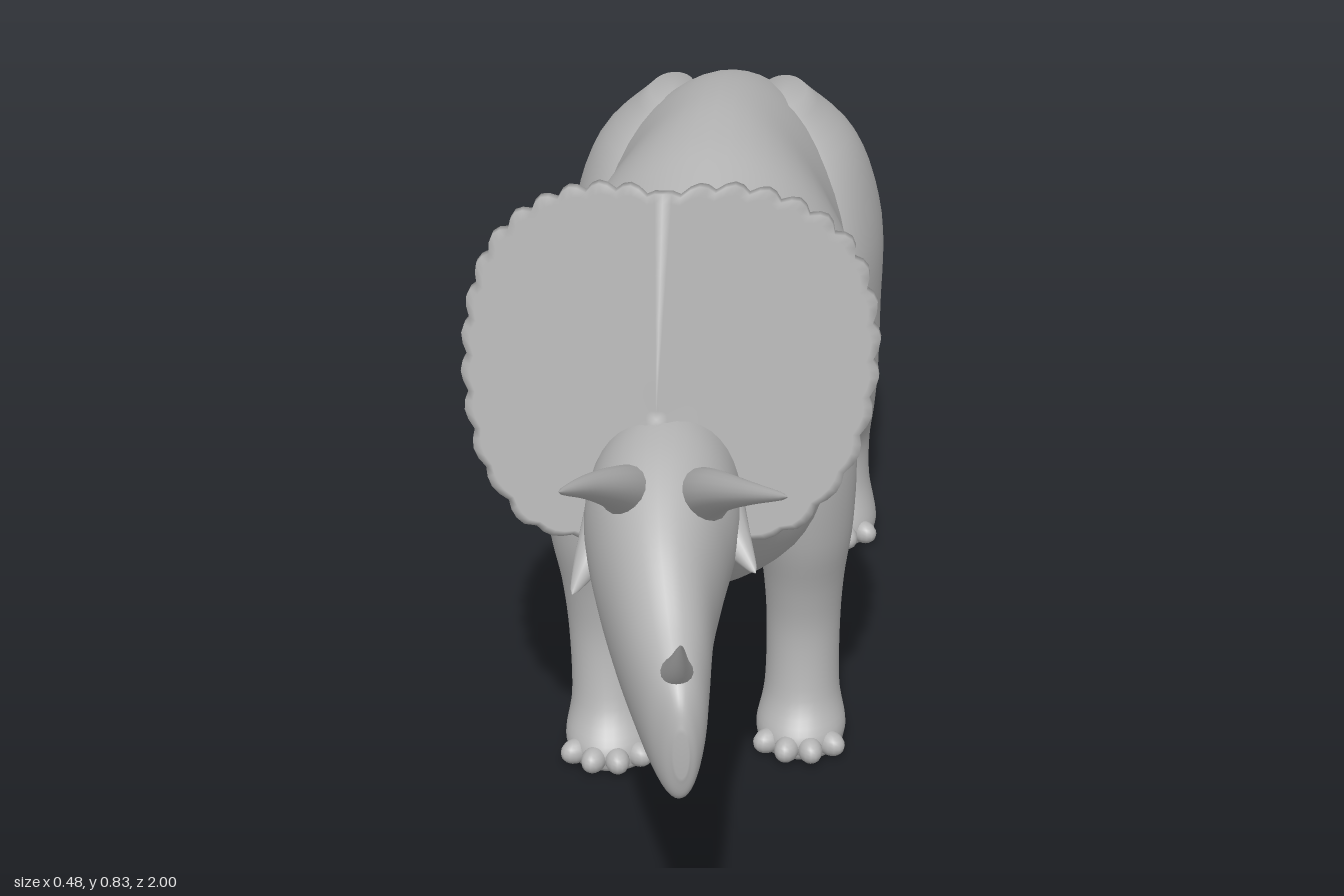
import * as THREE from 'three';

const MID = 0.015; // the body's centre plane in x

// Joins closed rings of points into a capped, smooth skin
function skin(rings) {
  const n = rings[0].length, pos = [], idx = [];
  rings.forEach(r => r.forEach(p => pos.push(...p)));
  for (let i = 0; i < rings.length - 1; i++) {
    for (let j = 0; j < n; j++) {
      const k = (j + 1) % n, a = i * n + j, b = i * n + k, c = a + n, d = b + n;
      idx.push(a, b, d, a, d, c);
    }
  }
  [0, rings.length - 1].forEach((r, end) => {
    const c = pos.length / 3;
    pos.push(...[0, 1, 2].map(q => rings[r].reduce((s, p) => s + p[q], 0) / n));
    for (let j = 0; j < n; j++) {
      const a = r * n + j, b = r * n + (j + 1) % n;
      idx.push(...(end ? [c, a, b] : [c, b, a]));
    }
  });
  const g = new THREE.BufferGeometry();
  g.setAttribute('position', new THREE.Float32BufferAttribute(pos, 3));
  g.setIndex(idx);
  g.computeVertexNormals();
  return g;
}

// Smooths sections {c: centre, r: [half width, half depth, taper]} into a loft along z or y
function loft(sections, axis, steps = 6, n = 40) {
  const curve = key => new THREE.CatmullRomCurve3(
    sections.map(s => new THREE.Vector3(...s[key])), false, 'catmullrom', 0.5);
  const centres = curve('c'), radii = curve('r'), rings = [];
  const total = (sections.length - 1) * steps;
  for (let i = 0; i <= total; i++) {
    const c = centres.getPoint(i / total), r = radii.getPoint(i / total);
    rings.push(Array.from({ length: n }, (_, j) => {
      const a = j / n * Math.PI * 2, s = Math.sin(a);
      const u = r.x * Math.cos(a) * (1 - r.z * s), v = r.y * s;
      return axis === 'z' ? [c.x + u, c.y + v, c.z] : [c.x + u, c.y, c.z - v];
    }));
  }
  return skin(rings);
}

// Section along z from top and bottom heights
const slice = ([z, x, top, bottom, half, taper = 0]) =>
  ({ c: [x, (top + bottom) / 2, z], r: [half, (top - bottom) / 2, taper] });

// Curved horn that narrows to a point
function horn(points, radius) {
  const curve = new THREE.CatmullRomCurve3(points.map(p => new THREE.Vector3(...p)));
  const seg = 20, sides = 16;
  const g = new THREE.TubeGeometry(curve, seg, radius, sides);
  const p = g.attributes.position, v = new THREE.Vector3();
  for (let i = 0; i <= seg; i++) {
    const c = curve.getPointAt(i / seg), k = Math.sqrt(1 - i / seg) * (1 - 0.55 * i / seg);
    for (let j = 0; j <= sides; j++) {
      const q = i * (sides + 1) + j;
      v.fromBufferAttribute(p, q).sub(c).multiplyScalar(k).add(c);
      p.setXYZ(q, v.x, v.y, v.z);
    }
  }
  return g;
}

// Scalloped neck shield, creased down the middle with its sides swept back
function frillGeometry() {
  const outline = [[0, .225], [35, .232], [60, .24], [90, .235], [118, .235], [135, .215], [150, .165], [180, .1]];
  const radiusAt = deg => {
    const i = Math.max(1, outline.findIndex(o => o[0] >= deg));
    const [a, ra] = outline[i - 1], [b, rb] = outline[i];
    return THREE.MathUtils.lerp(ra, rb, (deg - a) / (b - a));
  };
  const ring = (t, back) => Array.from({ length: 152 }, (_, j) => {
    const a = j / 152 * Math.PI * 2;
    const fromUp = Math.min(180, Math.acos(THREE.MathUtils.clamp(Math.sin(a), -1, 1)) * 180 / Math.PI);
    const r = t * radiusAt(fromUp) * (1 + 0.035 * t ** 8 * (Math.abs(Math.sin(a * 19)) - 0.5));
    const x = r * Math.cos(a), y = 0.605 + r * Math.sin(a);
    const front = 0.605 + 0.42 * (0.83 - y) - 0.72 * Math.abs(x) - 0.04 * x;
    return [x + 0.002, y, front - (back ? 0.012 + 0.045 * (1 - t) : 0)];
  });
  const ts = [0.05, 0.25, 0.45, 0.65, 0.8, 0.9, 0.96, 1];
  return skin([...ts.map(t => ring(t, true)), ...ts.reverse().map(t => ring(t, false))]);
}

export function createModel() {
  const model = new THREE.Group();
  model.name = 'hornedDinosaur';
  const hide = new THREE.MeshStandardMaterial({ color: 0xb4b4b4 });
  hide.name = 'grey hide';
  const add = (name, geometry, parent = model) => {
    const mesh = new THREE.Mesh(geometry, hide);
    mesh.name = name;
    parent.add(mesh);
    return mesh;
  };

  // Tail, trunk and neck: z, x, top, bottom, half width, taper
  add('body', loft([
    [-1, -.03, .1, .084, .008], [-.9, -.028, .135, .098, .018], [-.8, -.012, .182, .13, .03],
    [-.7, 0, .26, .165, .042], [-.6, .01, .365, .21, .055], [-.5, .02, .5, .26, .072, .05],
    [-.4, .022, .59, .285, .1, .1], [-.3, .02, .645, .28, .145, .15], [-.17, .015, .688, .25, .172, .15],
    [-.03, MID, .708, .215, .172, .12], [.1, MID, .704, .207, .205, .12], [.2, MID, .685, .213, .2, .12],
    [.3, MID, .66, .225, .182, .12], [.42, MID, .632, .25, .165, .12], [.52, MID, .607, .295, .12, .08],
    [.6, MID, .59, .345, .1], [.68, .01, .55, .4, .07]
  ].map(slice), 'z', 5, 48));

  // Skull, snout and beak, turned a little to the left
  const head = new THREE.Group();
  head.name = 'head';
  model.add(head);
  add('skull', loft([
    [.55, .015, .58, .38, .07], [.65, .01, .6, .385, .083], [.72, .01, .6, .37, .086, -.05],
    [.78, .012, .585, .34, .075, -.1], [.85, .02, .545, .315, .058, -.15], [.92, .035, .488, .304, .043, -.2],
    [.965, .046, .455, .305, .032, -.15], [.988, .052, .43, .315, .02], [.998, .055, .4, .345, .008]
  ].map(slice), 'z'), head);
  add('frill', frillGeometry(), head);
  add('rightBrowHorn', horn([[-.015, .535, .74], [-.03, .582, .81], [-.052, .622, .885], [-.072, .654, .958]], .036), head);
  add('leftBrowHorn', horn([[.05, .535, .74], [.075, .582, .81], [.115, .622, .885], [.16, .654, .95]], .036), head);
  add('noseHorn', horn([[.043, .425, .935], [.049, .46, .968], [.055, .502, .994]], .027), head);
  add('rightCheekSpike', horn([[-.04, .49, .69], [-.068, .45, .725], [-.088, .412, .745]], .042), head);
  add('leftCheekSpike', horn([[.06, .505, .69], [.092, .475, .725], [.115, .448, .745]], .042), head);

  // Leg sections: y, x offset from the middle, z, half width, half depth
  const frontLeg = [
    [0, .135, .36, .053, .06], [.025, .135, .36, .056, .064], [.07, .135, .345, .047, .053],
    [.15, .135, .335, .046, .052], [.22, .135, .335, .05, .062], [.3, .135, .34, .06, .08],
    [.4, .13, .33, .066, .105], [.5, .11, .32, .065, .115], [.59, .08, .31, .04, .08]];
  const hindLeg = [
    [0, .16, -.19, .05, .06], [.025, .16, -.19, .053, .064], [.08, .16, -.2, .042, .05],
    [.14, .16, -.2, .041, .05], [.2, .16, -.178, .047, .073], [.26, .157, -.168, .054, .1],
    [.35, .152, -.185, .06, .13], [.47, .147, -.2, .064, .148], [.58, .115, -.2, .062, .12],
    [.655, .075, -.2, .03, .06]];

  // The shift moves the foot and fades out towards the top of the leg
  function leg(name, side, sections, shiftX, shiftZ) {
    const group = new THREE.Group();
    group.name = name;
    model.add(group);
    const moved = sections.map(([y, x, z, rx, rz]) => {
      const f = 1 - Math.min(1, y / 0.55);
      return { c: [MID + side * x + shiftX * f, y, z + shiftZ * f], r: [rx, rz, 0] };
    });
    add(name + 'Limb', loft(moved, 'y', 5, 32), group);
    const { c, r } = moved[1];
    for (let i = 0; i < 4; i++) {
      const a = (i - 1.5) * 0.55;
      const toe = add(name + 'Toe', new THREE.SphereGeometry(0.018, 14, 10), group);
      toe.position.set(c[0] + Math.sin(a) * r[0] * 0.95, 0.016, c[2] + Math.cos(a) * r[1]);
      toe.scale.set(0.85, 0.88, 1.15);
      toe.rotation.y = a;
    }
  }
  leg('leftFrontLeg', 1, frontLeg, 0, 0);
  leg('rightFrontLeg', -1, frontLeg, .035, .045);
  leg('leftHindLeg', 1, hindLeg, 0, 0);
  leg('rightHindLeg', -1, hindLeg, 0, .01);

  return model;
}
